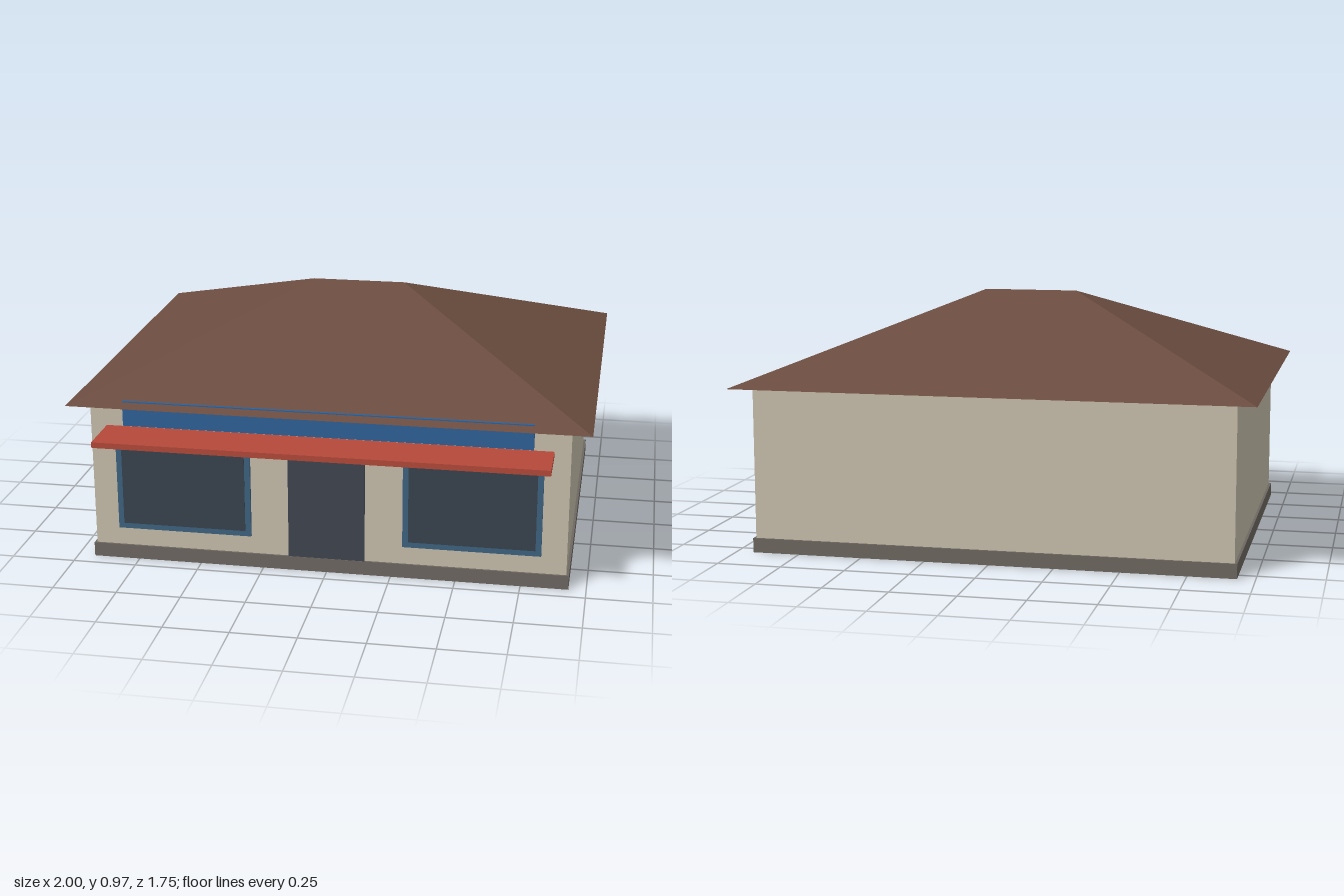
import * as THREE from 'three';

const paint = (color) => new THREE.MeshStandardMaterial({ color });
const WALL = paint(0xc8bfac), PLINTH = paint(0x6e6761), ROOF = paint(0x6b4c3f);
const BLUE = paint(0x2f6298), FRAME = paint(0x3e6482), GLASS = paint(0x39434d);
const DOOR = paint(0x40454f), RED = paint(0xb4483a);

// Box given by its min and max on each axis
function box(name, material, [x0, x1], [y0, y1], [z0, z1]) {
  const mesh = new THREE.Mesh(new THREE.BoxGeometry(x1 - x0, y1 - y0, z1 - z0), material);
  mesh.position.set((x0 + x1) / 2, (y0 + y1) / 2, (z0 + z1) / 2);
  mesh.name = name;
  return mesh;
}

// Hipped roof: four eave corners rising to a short ridge, closed underneath
function hippedRoof(halfWidth, zBack, zFront, yEave, yRidge, halfRidge) {
  const zMid = (zBack + zFront) / 2;
  const p = [
    [-halfWidth, yEave, zFront], [halfWidth, yEave, zFront],
    [halfWidth, yEave, zBack], [-halfWidth, yEave, zBack],
    [-halfRidge, yRidge, zMid], [halfRidge, yRidge, zMid],
  ];
  const faces = [
    [0, 1, 5], [0, 5, 4], // front slope
    [2, 3, 4], [2, 4, 5], // back slope
    [1, 2, 5], [3, 0, 4], // hips
    [0, 3, 2], [0, 2, 1], // soffit
  ];
  const geometry = new THREE.BufferGeometry();
  geometry.setAttribute('position',
    new THREE.Float32BufferAttribute(faces.flat().flatMap((i) => p[i]), 3));
  geometry.computeVertexNormals();
  const mesh = new THREE.Mesh(geometry, ROOF);
  mesh.name = 'roof';
  return mesh;
}

// Shop window: four frame bars around a pane
function shopWindow(name, cx) {
  const group = new THREE.Group();
  group.name = name;
  const [x0, x1, y0, y1, t] = [cx - 0.265, cx + 0.265, 0.13, 0.525, 0.022];
  const z = [0.67, 0.692];
  group.add(
    box('frameBottom', FRAME, [x0, x1], [y0, y0 + t], z),
    box('frameTop', FRAME, [x0, x1], [y1 - t, y1], z),
    box('frameLeft', FRAME, [x1 - t, x1], [y0 + t, y1 - t], z),
    box('frameRight', FRAME, [x0, x0 + t], [y0 + t, y1 - t], z),
    box('pane', GLASS, [x0 + t, x1 - t], [y0 + t, y1 - t], [0.67, 0.694]),
  );
  return group;
}

export function createModel() {
  const model = new THREE.Group();
  model.name = 'shop';

  // Building shell
  model.add(
    box('plinth', PLINTH, [-0.933, 0.933], [0, 0.056], [-0.808, 0.688]),
    box('walls', WALL, [-0.923, 0.923], [0.056, 0.645], [-0.8, 0.68]),
    hippedRoof(1, -0.875, 0.75, 0.645, 0.97, 0.188),
  );

  // Shop front
  model.add(
    box('door', DOOR, [-0.149, 0.149], [0.056, 0.487], [0.67, 0.686]),
    box('awning', RED, [-0.86, 0.86], [0.53, 0.552], [0.68, 0.875]),
    box('signBoard', BLUE, [-0.785, 0.785], [0.565, 0.664], [0.68, 0.713]),
  );
  for (const side of [1, -1]) {
    model.add(shopWindow(side > 0 ? 'leftWindow' : 'rightWindow', side * 0.561));
  }
  return model;
}
